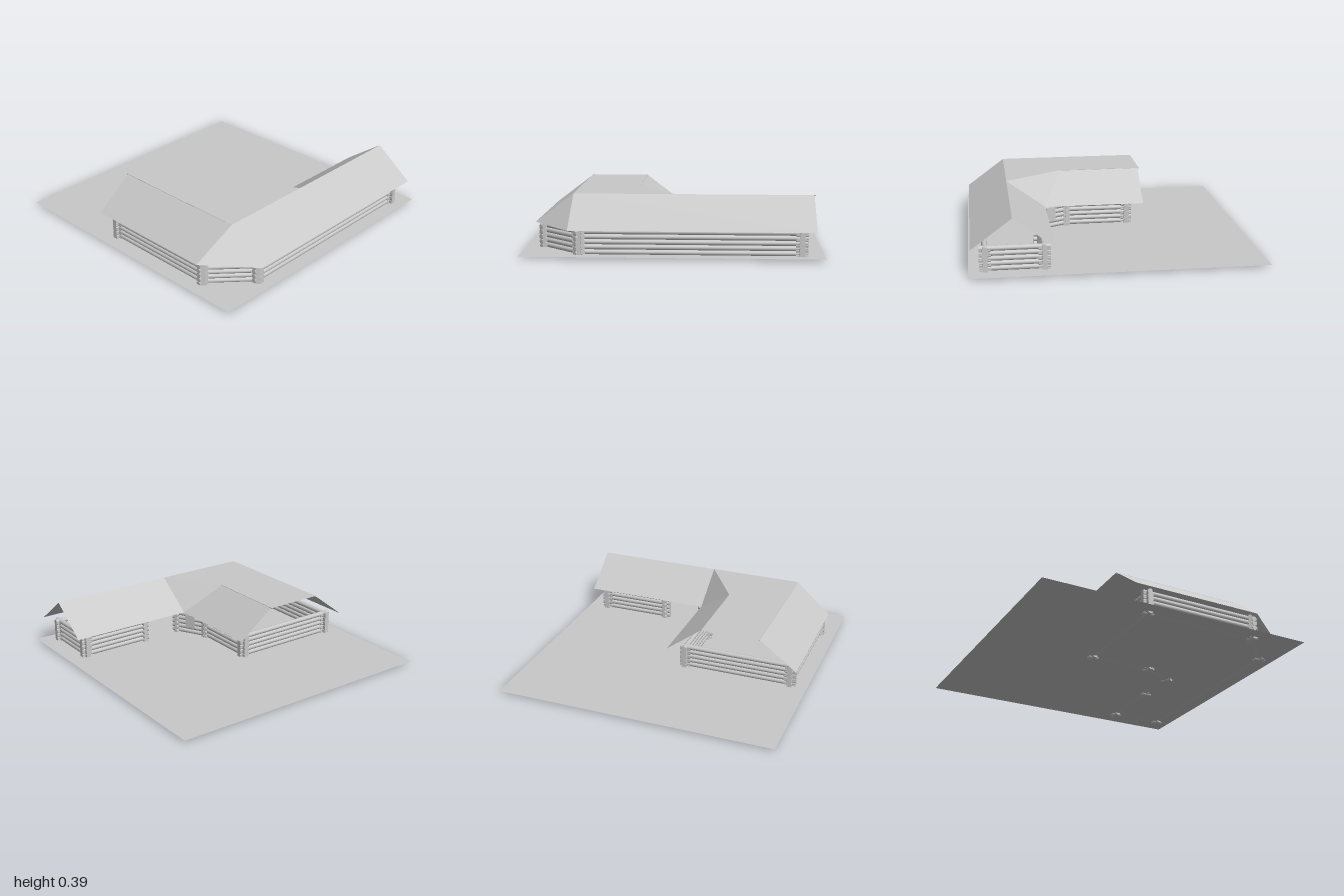
import * as THREE from 'three';

export function createModel() {
  const model = new THREE.Group();
  model.name = 'logCabin';
  const gray = new THREE.MeshStandardMaterial({ color: 0xc8c8c8, side: THREE.DoubleSide });
  gray.name = 'plainGray';

  const add = (parent, name, geometry) => {
    const mesh = new THREE.Mesh(geometry, gray);
    mesh.name = name;
    parent.add(mesh);
    return mesh;
  };

  // Flat face from corners, counter-clockwise seen from outside
  const panel = (name, pts) => {
    const pos = [];
    for (let i = 1; i < pts.length - 1; i++) pos.push(...pts[0], ...pts[i], ...pts[i + 1]);
    const g = new THREE.BufferGeometry();
    g.setAttribute('position', new THREE.Float32BufferAttribute(pos, 3));
    g.computeVertexNormals();
    return add(roof, name, g);
  };

  // Ground sheet
  add(model, 'ground', new THREE.PlaneGeometry(2, 2).rotateX(-Math.PI / 2)).position.y = 0.015;

  // Log walls: plan corners [x, z], running from one side of the doorway to the other
  const R = 0.018, COURSES = 5, STEP = 0.034, OVERHANG = 0.04;
  const plan = [[0.5, -0.35], [0.5, -0.85], [0.89, -0.85], [0.89, 0.61], [0.645, 0.875],
    [-0.185, 0.875], [-0.185, 0.085], [0.275, 0.085], [0.5, -0.03]];

  const log = (parent, name, x, y, z, length, angle) => {
    const g = new THREE.CylinderGeometry(R, R, length, 12).rotateZ(Math.PI / 2);
    const mesh = add(parent, name, g);
    mesh.position.set(x, y, z);
    mesh.rotation.y = angle;
  };

  for (let w = 0; w < plan.length - 1; w++) {
    const [ax, az] = plan[w], [bx, bz] = plan[w + 1];
    const length = Math.hypot(bx - ax, bz - az);
    const angle = -Math.atan2(bz - az, bx - ax);
    const wall = new THREE.Group();
    wall.name = 'logWall';
    model.add(wall);
    for (let i = 0; i < COURSES; i++) {
      log(wall, 'wallLog', (ax + bx) / 2, 0.03 + i * STEP, (az + bz) / 2, length + 2 * OVERHANG, angle);
      // Notched cross logs at both wall ends
      for (const [x, z] of [plan[w], plan[w + 1]]) {
        log(wall, 'crossLog', x, R + i * STEP, z, 2 * OVERHANG, angle + Math.PI / 2);
      }
    }
  }

  // Small window on the slanted courtyard wall
  const win = add(model, 'windowPanel', new THREE.BoxGeometry(0.08, 0.1, 0.008));
  win.position.set(0.388, 0.115, 0.007);
  win.rotation.y = Math.atan2(0.115, 0.225);

  // Roof of thin sheets
  const roof = new THREE.Group();
  roof.name = 'roof';
  model.add(roof);
  const T = 0.39, E = 0.185;
  panel('flatRoof', [[0.3, T, 0.25], [-0.31, T, 0.25], [-0.31, T, 0.67], [0.71, T, 0.67], [0.71, T, -0.015]]);
  panel('frontSlope', [[-0.3, T, 0.67], [-0.3, E, 0.94], [0.655, E, 0.94], [0.71, T, 0.67]]);
  panel('cornerSlope', [[0.71, T, 0.67], [0.655, E, 0.94], [0.985, E, 0.675]]);
  panel('leftSlope', [[0.71, T, 0.67], [0.985, E, 0.675], [0.985, E, -0.94], [0.71, T, -0.94]]);
  panel('wingInnerSlope', [[0.71, T, -0.945], [0.43, E, -0.945], [0.43, E, -0.02], [0.71, T, -0.015]]);
  panel('courtyardCorner', [[0.71, T, -0.015], [0.43, E, -0.02], [0.3, T, 0.25]]);
  panel('backSlope', [[0.3, T, 0.25], [0.43, E, -0.02], [-0.3, E, -0.02], [-0.3, T, 0.25]]);

  // Thin ridge strips along the flat roof edges
  for (const z of [0.25, 0.67]) {
    add(roof, 'ridgeStrip', new THREE.BoxGeometry(z < 0.5 ? 0.61 : 0.96, 0.006, 0.006))
      .position.set(z < 0.5 ? -0.005 : 0.17, T - 0.003, z);
  }
  return model;
}
